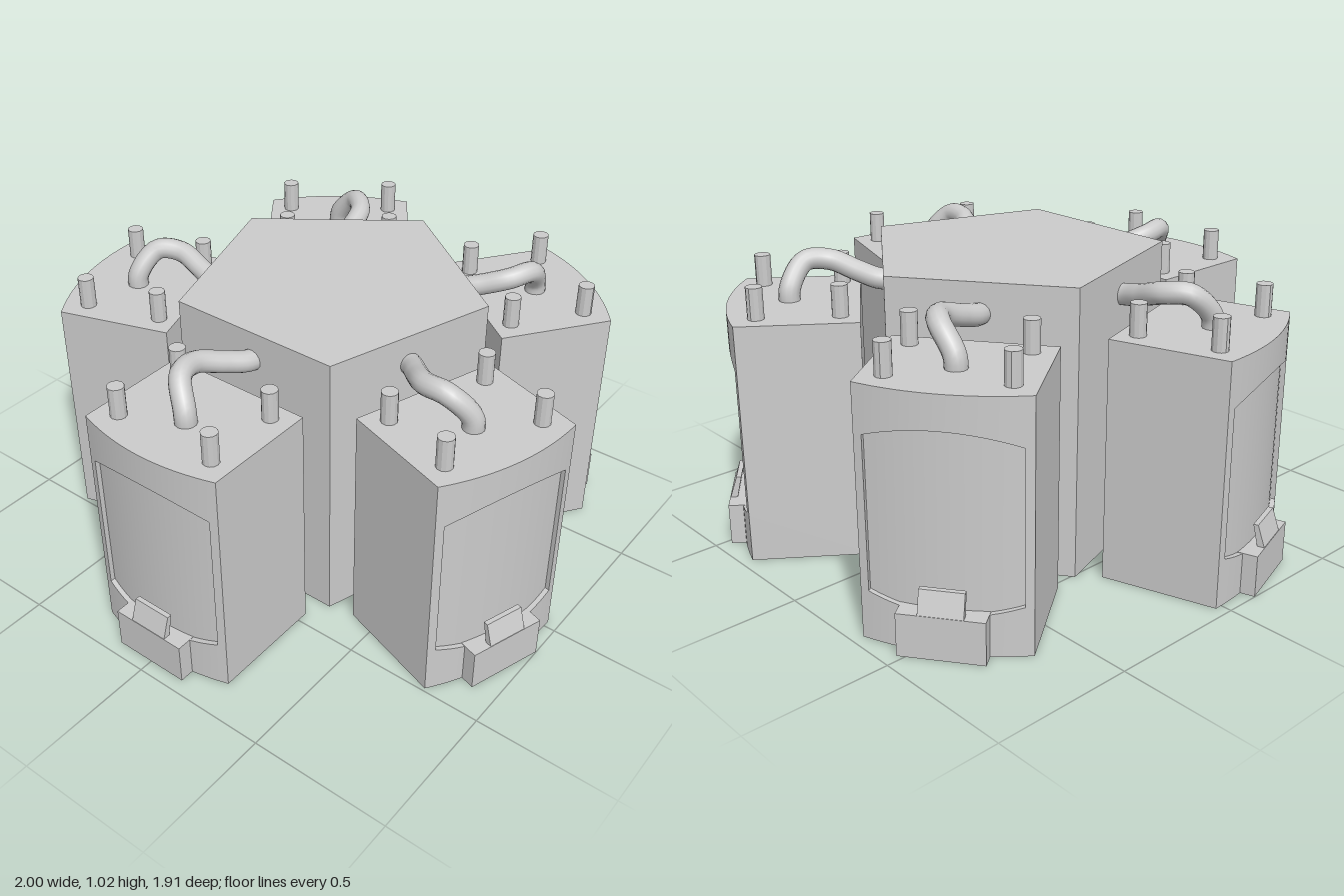
import * as THREE from 'three';
import { toCreasedNormals } from 'three/addons/utils/BufferGeometryUtils.js';

const smooth = new THREE.MeshStandardMaterial({ color: 0xcccccc });
const flat = new THREE.MeshStandardMaterial({ color: 0xcccccc, flatShading: true });

const CENTER_Z = -0.054;   // axis of the ring of pods
const POD_TOP = 0.85;
const PANEL = 0.243;       // half width of the recessed panel

function add(parent, name, geometry, material = flat) {
  const mesh = new THREE.Mesh(geometry, material);
  mesh.name = name;
  parent.add(mesh);
  return mesh;
}

// bowed front of a pod
const frontZ = (x) => 0.912 - 0.6 * x * x;

// vertical section of a pod at x, with the panel recessed by depth
function section(x, depth) {
  const t = Math.min(1, (x / PANEL) ** 2);
  const f = frontZ(x), low = 0.135 + 0.035 * t, high = 0.735 - 0.045 * t;
  return [[0, 0.46], [0, f], [low, f], [low, f - depth], [high, f - depth],
    [high, f], [POD_TOP, f], [POD_TOP, 0.46]].map(([y, z]) => new THREE.Vector3(x, y, z));
}

// pod body lofted across x from its sections
function podBody() {
  const loops = [section(-0.271, 0), section(-PANEL, 0)];
  const steps = 20;
  for (let i = 0; i <= steps; i++) loops.push(section(PANEL * (2 * i / steps - 1), 0.018));
  loops.push(section(PANEL, 0), section(0.271, 0));

  const pos = [];
  const tri = (a, b, c) => {
    if (new THREE.Triangle(a, b, c).getArea() > 1e-8) {
      for (const p of [a, b, c]) pos.push(p.x, p.y, p.z);
    }
  };
  for (let i = 0; i < loops.length - 1; i++) {
    const p = loops[i], q = loops[i + 1];
    for (let j = 0; j < p.length; j++) {
      const k = (j + 1) % p.length;
      tri(p[j], q[j], q[k]);
      tri(p[j], q[k], p[k]);
    }
  }
  // flat side walls
  const first = loops[0], last = loops[loops.length - 1];
  for (let j = 1; j < first.length - 1; j++) {
    tri(first[0], first[j], first[j + 1]);
    tri(last[0], last[j + 1], last[j]);
  }
  const g = new THREE.BufferGeometry();
  g.setAttribute('position', new THREE.Float32BufferAttribute(pos, 3));
  g.computeVertexNormals();
  return toCreasedNormals(g, 0.4);
}

// side profile of [z, y] points extruded to a width across x
function across(points, width) {
  const shape = new THREE.Shape(points.map(([z, y]) => new THREE.Vector2(-z, y)));
  return new THREE.ExtrudeGeometry(shape, { depth: width, bevelEnabled: false })
    .translate(0, 0, -width / 2).rotateY(Math.PI / 2);
}

const bodyGeo = podBody();
const footGeo = across([[0.85, 0], [0.951, 0], [0.951, 0.148], [0.85, 0.148]], 0.28);
const latchGeo = across([[0.95, 0.146], [0.924, 0.225], [0.907, 0.225], [0.925, 0.146]], 0.144);
const studGeo = new THREE.CylinderGeometry(0.028, 0.028, 0.13, 12).translate(0, 0.895, 0);
const hosePath = new THREE.CatmullRomCurve3([
  [0, 0.82, 0.7], [-0.005, 0.89, 0.698], [-0.065, 0.968, 0.645], [-0.083, 0.965, 0.56],
  [-0.045, 0.935, 0.47], [-0.01, 0.915, 0.4], [0, 0.91, 0.35],
].map((p) => new THREE.Vector3(...p)));
const hoseGeo = new THREE.TubeGeometry(hosePath, 32, 0.037, 14);

function createPod() {
  const pod = new THREE.Group();
  add(pod, 'podBody', bodyGeo, smooth);
  add(pod, 'foot', footGeo);
  add(pod, 'latch', latchGeo);
  for (const x of [-0.193, 0.193]) {
    for (const z of [0.525, 0.8]) add(pod, 'stud', studGeo).position.set(x, 0, z);
  }
  add(pod, 'hose', hoseGeo, smooth);
  pod.position.z = -CENTER_Z;
  return pod;
}

export function createModel() {
  const model = new THREE.Group();
  model.name = 'podCluster';

  // five-sided core with a corner at the back
  const core = new THREE.CylinderGeometry(0.537, 0.537, 1.017, 5)
    .rotateY(Math.PI).translate(0, 0.5085, CENTER_Z);
  add(model, 'core', core);

  // one pod facing each side of the core
  for (let i = 0; i < 5; i++) {
    const arm = new THREE.Group();
    arm.name = 'pod';
    arm.add(createPod());
    arm.position.z = CENTER_Z;
    arm.rotation.y = i * Math.PI * 2 / 5;
    model.add(arm);
  }
  return model;
}
